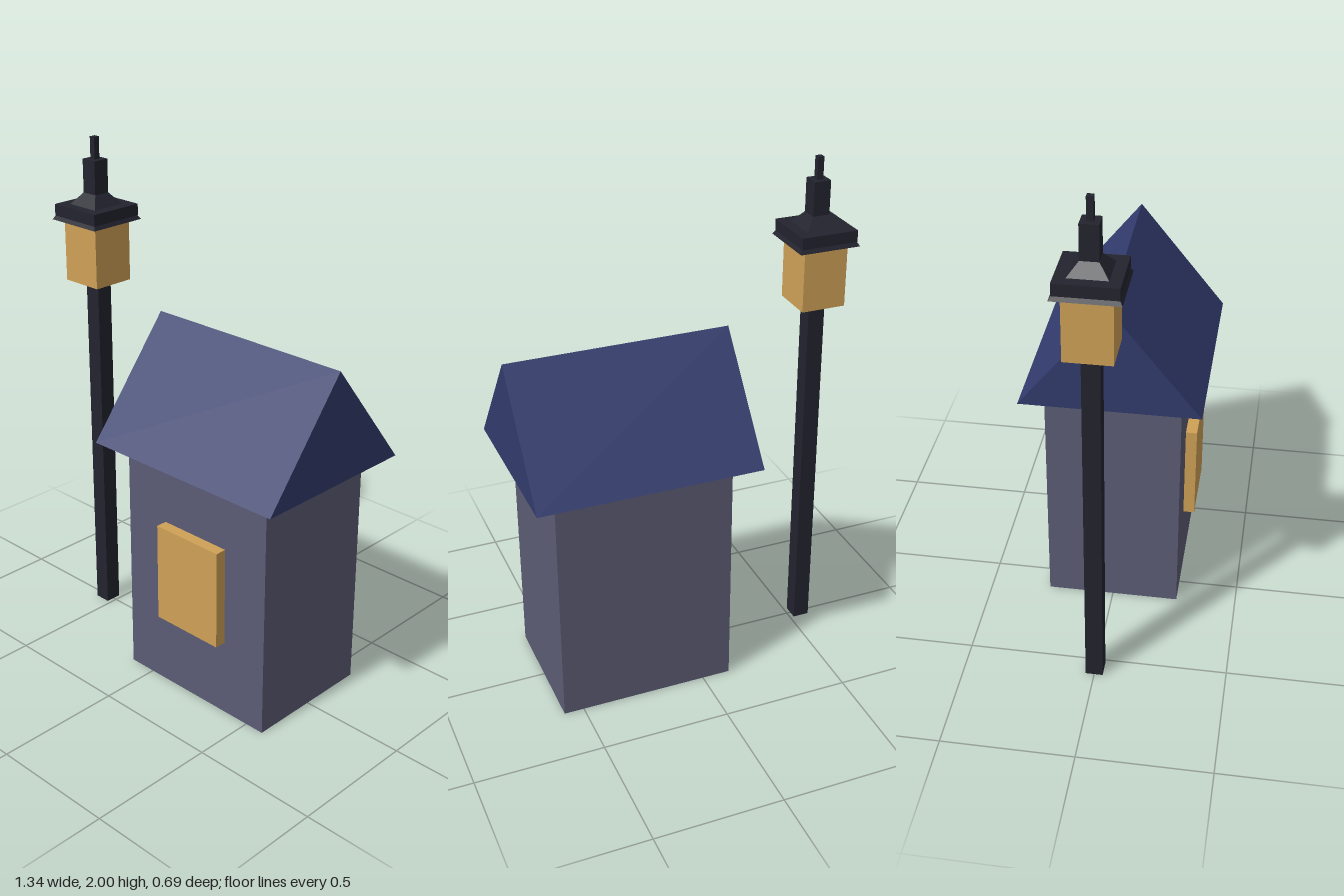
import * as THREE from 'three';

const mat = (name, color) => {
  const m = new THREE.MeshStandardMaterial({ color, flatShading: true });
  m.name = name;
  return m;
};

export function createModel() {
  const wallGrey = mat('wallGrey', 0x5b5c74);
  const roofBlue = mat('roofBlue', 0x323b6d);
  const amber = mat('amberGlass', 0xcfa157);
  const iron = mat('darkIron', 0x22232e);

  const add = (parent, name, geometry, material, x, y, z) => {
    const mesh = new THREE.Mesh(geometry, material);
    mesh.name = name;
    mesh.position.set(x, y, z);
    parent.add(mesh);
    return mesh;
  };

  // Square tapering block standing on y0, sized by its half widths
  const block = (parent, name, material, bottom, top, y0, y1) => {
    const g = new THREE.CylinderGeometry(top * Math.SQRT2, bottom * Math.SQRT2, y1 - y0, 4);
    g.rotateY(Math.PI / 4);
    return add(parent, name, g, material, 0, (y0 + y1) / 2, 0);
  };

  const model = new THREE.Group();
  model.name = 'houseAndLamp';

  // House: walls, gabled roof with ridge along x, front window
  const house = new THREE.Group();
  house.name = 'house';
  house.position.x = 0.233;
  model.add(house);
  add(house, 'walls', new THREE.BoxGeometry(0.69, 0.96, 0.524), wallGrey, 0, 0.48, 0);
  add(house, 'window', new THREE.BoxGeometry(0.304, 0.393, 0.085), amber, 0, 0.502, 0.2635);

  const gable = new THREE.Shape();
  gable.moveTo(-0.346, 0);
  gable.lineTo(0.346, 0);
  gable.lineTo(0, 0.433);
  gable.closePath();
  const roofGeometry = new THREE.ExtrudeGeometry(gable, { depth: 0.868, bevelEnabled: false });
  roofGeometry.translate(0, 0, -0.434);
  roofGeometry.rotateY(Math.PI / 2);
  add(house, 'roof', roofGeometry, roofBlue, 0, 0.96, 0);

  // Street lamp: post, glowing lantern and stepped cap
  const lamp = new THREE.Group();
  lamp.name = 'streetLamp';
  lamp.position.x = -0.549;
  model.add(lamp);
  block(lamp, 'post', iron, 0.033, 0.033, 0, 1.46);
  block(lamp, 'lantern', amber, 0.087, 0.087, 1.437, 1.685);
  block(lamp, 'capEave', iron, 0.12, 0.108, 1.68, 1.70);
  block(lamp, 'capRim', iron, 0.112, 0.112, 1.695, 1.74);
  block(lamp, 'capSlope', iron, 0.07, 0.033, 1.74, 1.785);
  block(lamp, 'capNeck', iron, 0.033, 0.033, 1.74, 1.915);
  block(lamp, 'finial', iron, 0.012, 0.012, 1.915, 2);

  return model;
}
